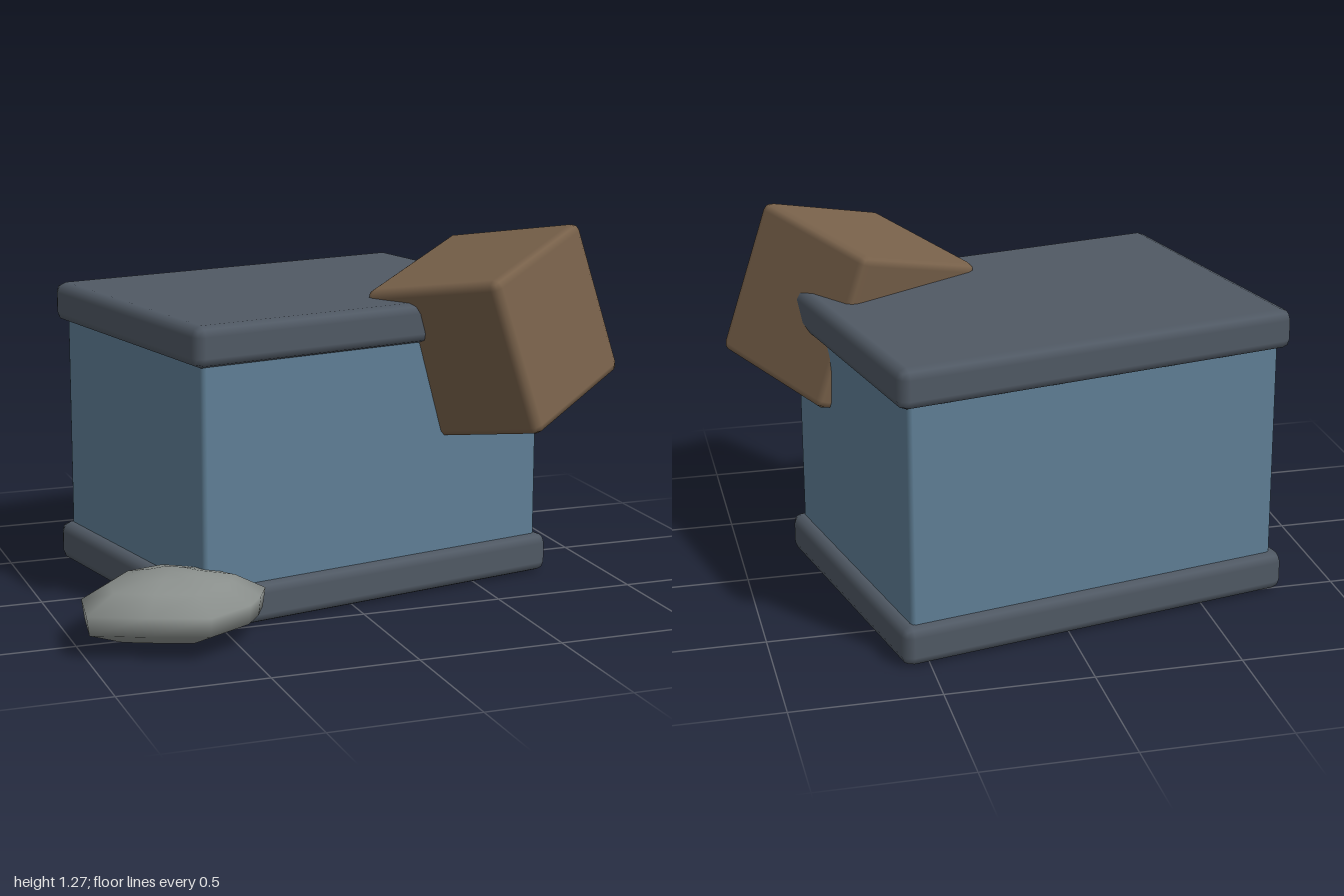
import * as THREE from 'three';
import { RoundedBoxGeometry } from 'three/addons/geometries/RoundedBoxGeometry.js';

function material(name, color) {
  const m = new THREE.MeshStandardMaterial({ color });
  m.name = name;
  return m;
}

// Box with softly bevelled edges
function bevelBox(name, w, h, d, radius, mat) {
  const mesh = new THREE.Mesh(new RoundedBoxGeometry(w, h, d, 1, radius), mat);
  mesh.name = name;
  return mesh;
}

// Flat boulder: one irregular outline scaled through stacked rings
function rockGeometry() {
  const outline = [
    [0.04, -0.27], [-0.15, -0.22], [-0.28, -0.07], [-0.31, 0.12], [-0.13, 0.2],
    [0.06, 0.27], [0.22, 0.18], [0.28, 0.1], [0.325, 0.01], [0.2, -0.16],
  ];
  const rings = [[0.01, 0.3], [0.03, 0.58], [0.08, 0.97], [0.145, 1], [0.2, 0.68], [0.225, 0.3]];
  const n = outline.length;
  const positions = [];
  const index = [];
  for (const [y, s] of rings) {
    for (const [x, z] of outline) positions.push(x * s, y, z * s);
  }
  const bottom = positions.length / 3;
  positions.push(0.03, 0, 0.02, 0, 0.23, 0);
  for (let i = 0; i < n; i++) {
    const j = (i + 1) % n;
    for (let r = 0; r < rings.length - 1; r++) {
      const a = r * n + i, b = r * n + j;
      index.push(a, b, b + n, a, b + n, a + n);
    }
    const last = (rings.length - 1) * n;
    index.push(bottom, j, i, bottom + 1, last + i, last + j);
  }
  const g = new THREE.BufferGeometry();
  g.setAttribute('position', new THREE.Float32BufferAttribute(positions, 3));
  g.setIndex(index);
  g.computeVertexNormals();
  return g;
}

export function createModel() {
  const model = new THREE.Group();
  model.name = 'crateAndRock';
  const blue = material('paintedBlue', 0x5f7f96);
  const slate = material('slateTrim', 0x505964);
  const brown = material('brownWood', 0x78614a);
  const grey = material('rockGrey', 0x8a8f8c);

  // Large crate with a slab at the top and bottom
  const crate = new THREE.Group();
  crate.name = 'largeCrate';
  crate.position.set(-0.003, 0, -0.137);
  crate.rotation.y = 0.206;
  const body = bevelBox('crateBody', 1.355, 1.0, 1.015, 0.015, blue);
  body.position.y = 0.515;
  crate.add(body);
  for (const [name, y] of [['bottomSlab', 0.07], ['topSlab', 0.96]]) {
    const slab = bevelBox(name, 1.43, 0.14, 1.08, 0.035, slate);
    slab.position.y = y;
    crate.add(slab);
  }
  model.add(crate);

  // Small box tipped into the upper front corner
  const smallBox = bevelBox('smallBox', 0.56, 0.56, 0.56, 0.03, brown);
  smallBox.position.set(0.57, 0.9, 0.265);
  smallBox.rotation.set(0, 0.56, 0.315, 'ZYX');
  model.add(smallBox);

  // Rock at the front corner
  const rock = new THREE.Mesh(rockGeometry(), grey);
  rock.name = 'rock';
  rock.position.set(-0.69, 0, 0.53);
  model.add(rock);

  return model;
}
